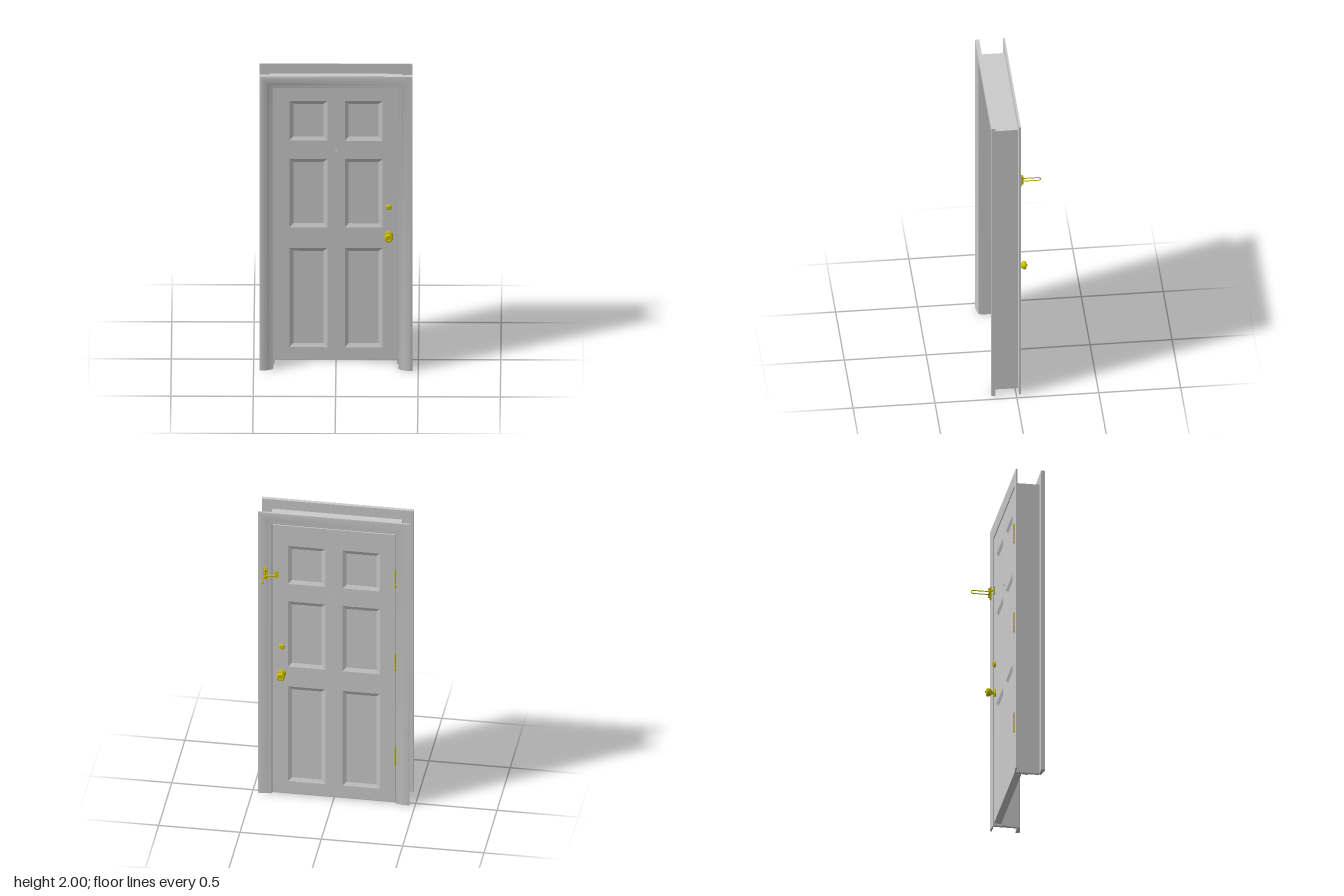
import * as THREE from 'three';
import { toCreasedNormals } from 'three/addons/utils/BufferGeometryUtils.js';

const grey = new THREE.MeshStandardMaterial({ color: 0xcccccc });
const brass = new THREE.MeshStandardMaterial({ color: 0xccc000 });

const BACK = -0.02, FRONT = 0.025; // door faces

function add(parent, name, geometry, material, x = 0, y = 0, z = 0) {
  const mesh = new THREE.Mesh(geometry, material);
  mesh.name = name;
  mesh.position.set(x, y, z);
  parent.add(mesh);
  return mesh;
}

// Mitred sweep of a profile (outward offset, z) around an opening: up, across, down
function surround(halfWidth, height, profile) {
  const pts = profile.map(([u, z]) => new THREE.Vector2(u, z));
  if (THREE.ShapeUtils.isClockWise(pts)) pts.reverse();
  const n = pts.length, pos = [], index = [];
  for (const [side, top] of [[-1, 0], [-1, 1], [1, 1], [1, 0]])
    for (const p of pts) pos.push(side * (halfWidth + p.x), top * (height + p.x), p.y);
  for (let k = 0; k < 3; k++)
    for (let i = 0; i < n; i++) {
      const j = (i + 1) % n;
      const a = k * n + i, b = k * n + j, c = b + n, d = a + n;
      index.push(a, b, c, a, c, d);
    }
  for (const [a, b, c] of THREE.ShapeUtils.triangulateShape(pts, [])) {
    index.push(a, c, b, a + 3 * n, b + 3 * n, c + 3 * n);
  }
  const g = new THREE.BufferGeometry();
  g.setAttribute('position', new THREE.Float32BufferAttribute(pos, 3));
  g.setIndex(index);
  return toCreasedNormals(g, 0.6);
}

const rectProfile = (u0, u1, z0, z1) => [[u0, z0], [u1, z0], [u1, z1], [u0, z1]];

// Sunken panel: four sloping borders and a flat field
function sunkenPanel(w, h, bevel, depth) {
  const ring = (x, y, z) => [[-x, -y, z], [x, -y, z], [x, y, z], [-x, y, z]];
  const o = ring(w / 2, h / 2, 0);
  const f = ring(w / 2 - bevel, h / 2 - bevel, -depth);
  const pos = [];
  const quad = (a, b, c, d) => pos.push(...a, ...b, ...c, ...a, ...c, ...d);
  for (let i = 0; i < 4; i++) quad(o[i], o[(i + 1) % 4], f[(i + 1) % 4], f[i]);
  quad(...f);
  const g = new THREE.BufferGeometry();
  g.setAttribute('position', new THREE.Float32BufferAttribute(pos, 3));
  g.computeVertexNormals();
  return g;
}

// Turned part whose axis runs along +z
function turned(profile) {
  const g = new THREE.LatheGeometry(profile.map(([r, z]) => new THREE.Vector2(r, z)), 28);
  g.rotateX(Math.PI / 2);
  return toCreasedNormals(g, 0.6);
}

function buildDoor() {
  const door = new THREE.Group();
  door.name = 'door';
  const slab = new THREE.Shape();
  slab.moveTo(-0.377, 0.012).lineTo(0.377, 0.012).lineTo(0.377, 1.912).lineTo(-0.377, 1.912).closePath();
  const w = 0.23;
  for (const [y0, y1] of [[0.095, 0.77], [0.91, 1.375], [1.5, 1.77]])
    for (const cx of [-0.168, 0.168]) {
      const hole = new THREE.Path();
      hole.moveTo(cx - w / 2, y0).lineTo(cx - w / 2, y1).lineTo(cx + w / 2, y1).lineTo(cx + w / 2, y0).closePath();
      slab.holes.push(hole);
      const panel = sunkenPanel(w, y1 - y0, 0.024, 0.01);
      add(door, 'frontPanel', panel, grey, cx, (y0 + y1) / 2, FRONT);
      add(door, 'backPanel', panel, grey, cx, (y0 + y1) / 2, BACK).rotation.y = Math.PI;
    }
  const body = new THREE.ExtrudeGeometry(slab, { depth: FRONT - BACK, bevelEnabled: false });
  add(door, 'doorSlab', body, grey, 0, 0, BACK);
  return door;
}

// Knob, deadbolt and peephole for one face, built facing +z
function buildHardware(name, inside) {
  const g = new THREE.Group();
  g.name = name;
  const x = inside ? -0.32 : 0.32;
  add(g, 'doorKnob', turned([[0, 0], [0.026, 0], [0.026, 0.005], [0.021, 0.009], [0.011, 0.011], [0.01, 0.02],
    [0.016, 0.026], [0.023, 0.034], [0.026, 0.044], [0.025, 0.052], [0.021, 0.056], [0.013, 0.056],
    [0.01, 0.053], [0, 0.053]]), brass, x, 0.86, 0);
  add(g, 'deadbolt', turned([[0, 0], [0.018, 0], [0.018, 0.005], [0.014, 0.011], [0.01, 0.012], [0, 0.012]]),
    brass, x, 1.05, 0);
  if (inside) {
    add(g, 'knobButton', new THREE.BoxGeometry(0.004, 0.012, 0.014), brass, x, 0.86, 0.057);
    add(g, 'thumbTurn', new THREE.BoxGeometry(0.005, 0.02, 0.008), brass, x, 1.05, 0.014);
  } else {
    add(g, 'knobKeyway', new THREE.BoxGeometry(0.003, 0.011, 0.003), brass, x, 0.86, 0.054);
    add(g, 'deadboltKeyway', new THREE.BoxGeometry(0.003, 0.009, 0.003), brass, x, 1.05, 0.012);
  }
  add(g, 'peephole', turned([[0, 0], [0.008, 0], [0.008, 0.003], [0.005, 0.004], [0.004, 0.002], [0, 0.002]]),
    grey, 0, 1.435, 0);
  return g;
}

function buildHinge(y) {
  const hinge = new THREE.Group();
  hinge.name = 'hinge';
  for (let i = 0; i < 5; i++)
    add(hinge, 'hingeKnuckle', new THREE.CylinderGeometry(0.0055, 0.0055, 0.023, 12), brass, 0, (i - 2) * 0.0245, 0);
  add(hinge, 'hingePin', new THREE.CylinderGeometry(0.0035, 0.0035, 0.13, 10), brass);
  add(hinge, 'hingeLeaf', new THREE.BoxGeometry(0.002, 0.12, 0.03), brass, 0, 0, 0.015);
  hinge.position.set(-0.378, y, -0.0265);
  return hinge;
}

// Swing-bar guard on the back of the door
function buildGuard() {
  const guard = new THREE.Group();
  guard.name = 'swingBarGuard';
  const V = (x, y, z) => new THREE.Vector3(x, y, z);
  add(guard, 'guardPlate', new THREE.BoxGeometry(0.028, 0.08, 0.006), brass, 0.42, 1.57, -0.032);
  for (const s of [-1, 1]) {
    add(guard, 'guardKnuckle', new THREE.CylinderGeometry(0.009, 0.009, 0.018, 16), brass, 0.42, 1.573 + s * 0.02, -0.041);
    add(guard, 'plateScrew', new THREE.SphereGeometry(0.005, 12, 8), brass, 0.42, 1.57 + s * 0.034, -0.035);
  }
  add(guard, 'guardPivot', new THREE.CylinderGeometry(0.005, 0.005, 0.05, 12), brass, 0.42, 1.573, -0.041);
  // Long loop of bent rod
  const loop = new THREE.CurvePath();
  const top = 1.583, low = 1.563, tip = -0.143;
  loop.add(new THREE.LineCurve3(V(0.42, top, -0.041), V(0.42, top, tip)));
  loop.add(new THREE.CubicBezierCurve3(V(0.42, top, tip), V(0.42, top, -0.155), V(0.42, low, -0.155), V(0.42, low, tip)));
  loop.add(new THREE.LineCurve3(V(0.42, low, tip), V(0.42, low, -0.041)));
  add(guard, 'guardLoop', new THREE.TubeGeometry(loop, 60, 0.003, 10), brass);
  // Curved catch fixed to the door
  const arm = new THREE.CatmullRomCurve3([V(0.345, 1.56, -0.024), V(0.358, 1.56, -0.036), V(0.38, 1.56, -0.044), V(0.408, 1.56, -0.045)]);
  add(guard, 'catchArm', new THREE.TubeGeometry(arm, 24, 0.005, 10), brass);
  add(guard, 'catchBall', new THREE.SphereGeometry(0.009, 16, 12), brass, 0.408, 1.56, -0.045);
  add(guard, 'catchBase', new THREE.BoxGeometry(0.026, 0.045, 0.005), brass, 0.352, 1.56, -0.022);
  return guard;
}

export function createModel() {
  const model = new THREE.Group();
  model.name = 'panelDoorWithFrame';

  // Frame: jamb, stop and the trim on both wall faces
  const frame = new THREE.Group();
  frame.name = 'doorFrame';
  model.add(frame);
  add(frame, 'jamb', surround(0.38, 1.915, rectProfile(0, 0.02, -0.018, 0.127)), grey);
  add(frame, 'doorStop', surround(0.37, 1.905, rectProfile(0, 0.01, 0.027, 0.06)), grey);
  const trim = [[0, 0], [0, 0.45], [0.006, 0.55], [0.014, 0.55], [0.022, 0.68], [0.034, 0.82],
    [0.05, 0.94], [0.064, 1], [0.074, 0.99], [0.08, 0.92], [0.08, 0]];
  const trimAt = (z, thick) => surround(0.385, 1.92, trim.map(([u, t]) => [u, z + t * thick]));
  add(frame, 'frontTrim', trimAt(0.127, 0.026), grey);
  add(frame, 'backTrim', trimAt(-0.018, -0.012), grey);

  model.add(buildDoor());

  const outside = buildHardware('outsideHardware', false);
  outside.position.z = FRONT;
  const inside = buildHardware('insideHardware', true);
  inside.position.z = BACK;
  inside.rotation.y = Math.PI;
  model.add(outside, inside);

  for (const y of [0.34, 1.01, 1.605]) model.add(buildHinge(y));
  model.add(buildGuard());
  return model;
}
